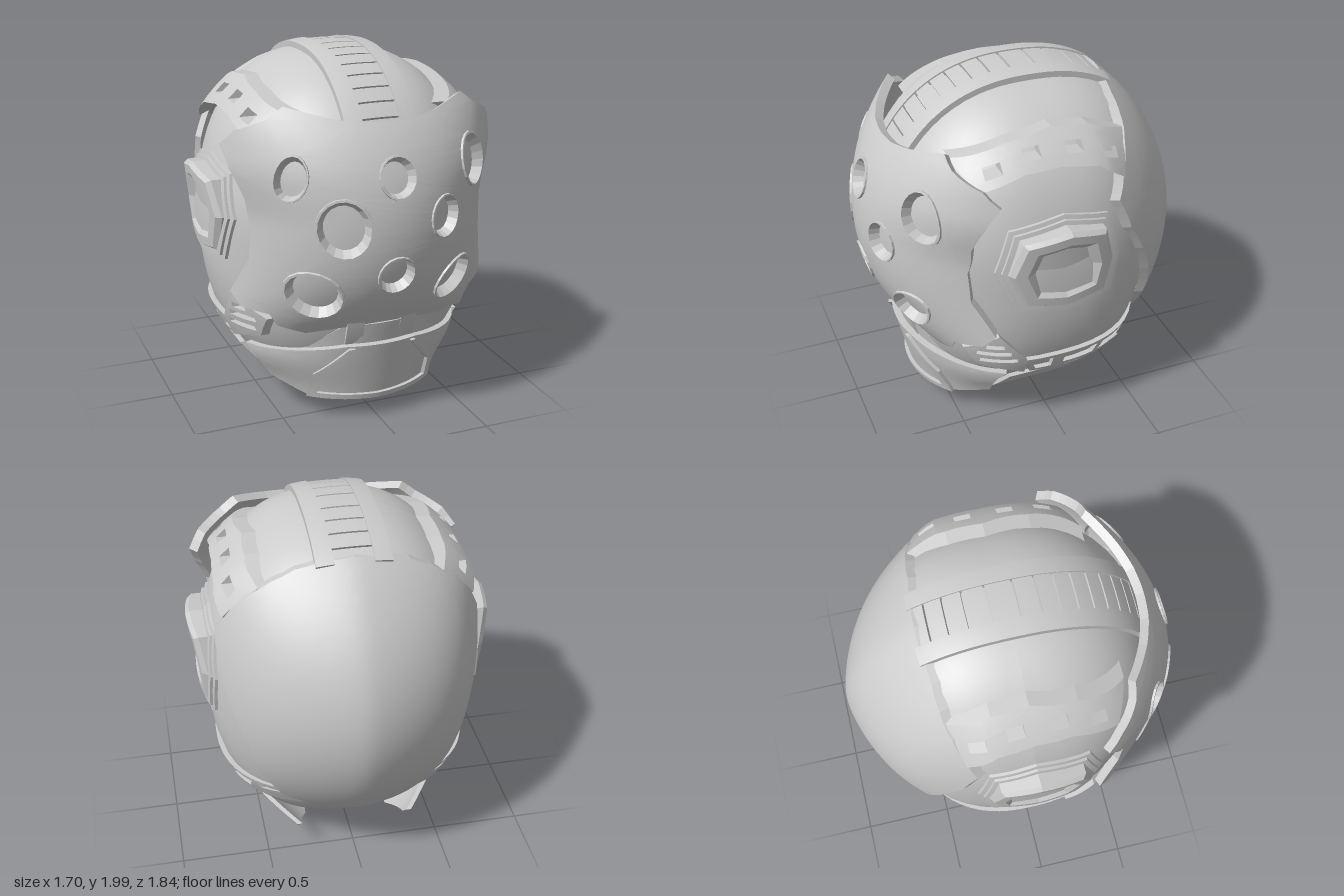
import * as THREE from 'three';
import { mergeGeometries, mergeVertices } from 'three/addons/utils/BufferGeometryUtils.js';

const material = new THREE.MeshStandardMaterial({ color: 0xcccccc, side: THREE.DoubleSide });
const STEP = 0.06;
const V2 = (a) => a.map(([x, y]) => new THREE.Vector2(x, y));
const sym = (half) => half.concat(half.filter((p) => p[0] > 0).map(([x, y]) => [-x, y]).reverse());
const rect = (x, y, w, h, skew = 0) =>
  [[x - w / 2, y - h / 2 - skew], [x + w / 2, y - h / 2 + skew], [x + w / 2, y + h / 2 + skew], [x - w / 2, y + h / 2 - skew]];
const centre = (pts) => pts.reduce((c, p) => [c[0] + p[0] / pts.length, c[1] + p[1] / pts.length], [0, 0]);
const scaled = (pts, s, c = centre(pts)) => pts.map(([x, y]) => [c[0] + (x - c[0]) * s, c[1] + (y - c[1]) * s]);
const oval = (x, y, rx, ry, tilt) => Array.from({ length: 18 }, (_, i) => {
  const a = (i / 18) * Math.PI * 2, u = rx * Math.cos(a), v = ry * Math.sin(a);
  return [x + u * Math.cos(tilt) - v * Math.sin(tilt), y + u * Math.sin(tilt) + v * Math.cos(tilt)];
});

// ---- plates: flat outlines laid onto a curved surface surf(u, v, offset) ----
function toGeometry(points, smooth) {
  const g = new THREE.BufferGeometry().setFromPoints(points);
  if (!smooth) { g.computeVertexNormals(); return g; }
  const m = mergeVertices(g, 1e-5);
  m.computeVertexNormals();
  return m.toNonIndexed();
}

function skin(outline, holes, surf, t) {
  const contour = V2(outline), inner = holes.map(V2), all = [contour, ...inner].flat(), out = [];
  const stack = THREE.ShapeUtils.triangulateShape(contour, inner).map((f) => f.map((i) => all[i]));
  while (stack.length) {
    const [a, b, c] = stack.pop();
    const ab = a.distanceTo(b), bc = b.distanceTo(c), ca = c.distanceTo(a), m = Math.max(ab, bc, ca);
    if (m <= STEP) { out.push(...[a, b, c].map((p) => surf(p.x, p.y, t))); continue; }
    const [p, q, r] = m === ab ? [a, b, c] : m === bc ? [b, c, a] : [c, a, b];
    const mid = p.clone().add(q).multiplyScalar(0.5);
    stack.push([p, mid, r], [mid, q, r]);
  }
  return toGeometry(out, true);
}

function wall(outline, surf, t0, t1, s0 = 1, s1 = 1) {
  const dense = [], out = [], c = centre(outline);
  outline.forEach((p, i) => {
    const q = outline[(i + 1) % outline.length];
    let n = 1;
    while (Math.hypot(q[0] - p[0], q[1] - p[1]) / n > STEP) n *= 2;
    for (let k = 0; k < n; k++) dense.push([p[0] + (q[0] - p[0]) * k / n, p[1] + (q[1] - p[1]) * k / n]);
  });
  const a = scaled(dense, s0, c).map((p) => surf(p[0], p[1], t0));
  const b = scaled(dense, s1, c).map((p) => surf(p[0], p[1], t1));
  a.forEach((p, i) => {
    const j = (i + 1) % a.length;
    out.push(p, a[j], b[j], p, b[j], b[i]);
  });
  return toGeometry(out, false);
}

const plate = (outline, holes, surf, t0, t1) => mergeGeometries([
  skin(outline, holes, surf, t1), skin(outline, holes, surf, t0),
  ...[outline, ...holes].map((o) => wall(o, surf, t0, t1)),
]);

// ---- surfaces ----
const P = 2.4, CY = 1.02, RX = 0.76, RY = 0.95;
const { smoothstep } = THREE.MathUtils;
const spow = (v, p) => Math.sign(v) * Math.abs(v) ** (2 / p);
const bulge = (y) => (y > CY ? 2.3 : 2.5);
const ring = (y) => Math.max(1 - Math.abs((y - CY) / RY) ** bulge(y), 0) ** (1 / bulge(y));
const depth = (y, z) => (z < 0
  ? 0.71 + 0.05 * smoothstep(y, 0.55, 1.1) + 0.11 * smoothstep(y, 1.4, 1.9)
  : 0.73 + 0.09 * smoothstep(y, 0.75, 1.35));
const vec = (x, y, z) => new THREE.Vector3(x, y, z);

const sideSurf = (z, y, t) => {
  const rest = ring(y) ** P - Math.abs(z / depth(y, z)) ** P;
  return vec(RX * Math.max(rest, 0.02) ** (1 / P) + t, y, z);
};
const templeSurf = (z, y, t) => sideSurf(z, y, t * (1 - 1.5 * (y - 1.68)) * (1 - 0.45 * smoothstep(-z, 0.2, 0.42)));
const crestSurf = (x, phi, t) => {
  const k = (1 - Math.abs(x / RX) ** P) ** (1 / P), c = Math.cos(phi), s = Math.sin(phi), q = bulge(CY + s);
  const y = CY + RY * spow(s, q) * k;
  return vec(x, y + t * s, depth(y, c) * spow(c, q) * k + t * c);
};
const maskSurf = (x, y, t) => {
  const d = y - 1.17, w = 0.8 + (d > 0 ? 0.07 * smoothstep(y, 1.17, 1.5) : 0.3 * d * d);
  const z = (0.92 - 0.5 * d * d - 0.35 * d ** 4) * Math.sqrt(1 - (x / w) ** 2);
  const n = vec(x, d * 0.8, z).normalize();
  return vec(x, y, z).addScaledVector(n, t);
};
const backSurf = (x, y, t) => {
  const d = y - 1.05, a = Math.hypot(x, 0.05) - 0.05;
  return vec(x * (1 + t * 0.5), y, -(0.92 - 0.16 * a - 0.5 * x * x - 1.1 * x ** 6 - 0.55 * d * d - 0.1 * d ** 4) - t);
};
const chinSurf = (x, y, t) => {
  const w = 0.58 + 0.12 * smoothstep(y, 0.12, 0.4);
  const z = (0.64 + 0.25 * (y - 0.1)) * Math.sqrt(1 - (x / w) ** 2);
  return vec(x, y, z).addScaledVector(vec(x, 0, z).normalize(), t);
};
const jawSurf = (z, y, t) => vec((0.2 + 0.47 * (y / 0.4) ** 0.74) * (1 - 1.1 * Math.min(z, 0) ** 2) + t, y, z);
const earSurf = (z, y, t) => vec(0.815 + 0.1 * (y - 1.13) - 0.45 * (z - 0.02) ** 2 + t, y, z);

export function createModel() {
  const root = new THREE.Group();
  root.name = 'helmet';
  const add = (name, geometry, mirror = false) => {
    for (const s of mirror ? [1, -1] : [1]) {
      const m = new THREE.Mesh(geometry, material);
      m.name = mirror ? (s > 0 ? 'left ' : 'right ') + name : name;
      m.scale.x = s;
      root.add(m);
    }
  };

  // rounded inner shell
  const shell = new THREE.SphereGeometry(1, 48, 36), pos = shell.attributes.position;
  for (let i = 0; i < pos.count; i++) {
    const x = pos.getX(i), uy = pos.getY(i), z = pos.getZ(i), h = Math.hypot(x, z) || 1;
    const y = CY + RY * spow(uy, bulge(CY + uy)), f = ring(y);
    pos.setXYZ(i, RX * f * spow(x / h, P), y, depth(y, z) * f * spow(z / h, P));
  }
  shell.computeVertexNormals();
  add('shell', shell);

  // crest over the top: two rails and a ladder of segments
  add('crest rail', plate([[0.105, -0.65], [0.2, -0.65], [0.2, 2.1], [0.105, 2.1]], [], crestSurf, -0.02, 0.03), true);
  const rungs = [];
  for (let a = -0.6; a < 2.1; a += 0.115) rungs.push(plate(rect(0, a, 0.21, 0.103), [], crestSurf, -0.02, 0.022));
  add('crest segments', mergeGeometries(rungs));

  // face mask with eight round ports
  const ports = [
    [0, 1.44, 0.095, 0.1, 0], [-0.51, 1.44, 0.068, 0.115, -0.25], [0.51, 1.44, 0.088, 0.14, 0.25],
    [-0.28, 1.19, 0.125, 0.15, 0.1], [0.28, 1.2, 0.088, 0.11, 0], [0, 0.92, 0.097, 0.1, 0],
    [-0.4, 0.81, 0.15, 0.115, 2.4], [0.39, 0.81, 0.135, 0.095, 0.75],
  ].map((p) => oval(...p));
  const maskOutline = sym([[0, 1.7], [0.15, 1.705], [0.3, 1.73], [0.5, 1.78], [0.58, 1.72], [0.72, 1.65], [0.78, 1.57],
    [0.75, 1.45], [0.69, 1.3], [0.665, 1.15], [0.675, 0.97], [0.75, 0.76], [0.71, 0.69], [0.59, 0.67],
    [0.55, 0.6], [0.4, 0.545], [0.25, 0.575], [0, 0.6]]);
  add('face mask', plate(maskOutline, ports, maskSurf, -0.05, 0));
  ports.forEach((o) => {
    add('port rim', mergeGeometries([wall(o, maskSurf, 0, 0.012, 1.1, 1.08), wall(o, maskSurf, 0.012, 0.012, 1.08, 1),
      wall(o, maskSurf, 0.012, -0.045, 1, 0.83)]));
    add('port lens', skin(scaled(o, 0.84), [], maskSurf, -0.045));
  });

  // rear plate
  add('back plate', plate(sym([[0, 1.9], [0.15, 1.885], [0.3, 1.845], [0.43, 1.78], [0.56, 1.69], [0.655, 1.58],
    [0.72, 1.44], [0.71, 1.25], [0.67, 1.07], [0.61, 0.88], [0.53, 0.66], [0.42, 0.5], [0.2, 0.41], [0, 0.4]]),
  [], backSurf, -0.05, 0));

  // windowed bands along the temples and above the jaw
  add('temple band', plate([[0.45, 1.6], [0.2, 1.68], [0, 1.69], [-0.2, 1.66], [-0.36, 1.55], [-0.42, 1.74],
    [-0.2, 1.82], [0, 1.84], [0.25, 1.8], [0.52, 1.72]],
  [[0.35, 1.695, -0.012], [0.14, 1.755, -0.004], [-0.09, 1.755, 0.004], [-0.29, 1.69, 0.018]]
    .map(([z, y, k]) => rect(z, y, 0.09, 0.05, k)), templeSurf, -0.02, 0.1), true);
  add('jaw band', plate([[0.22, 0.52], [0.16, 0.4], [-0.56, 0.4], [-0.64, 0.45], [-0.62, 0.53]], [
    [[0.17, 0.5], [0.13, 0.42], [0.04, 0.42], [0.04, 0.5]], [[-0.03, 0.5], [-0.03, 0.43], [-0.22, 0.43], [-0.24, 0.5]],
    [[-0.28, 0.5], [-0.26, 0.43], [-0.4, 0.43], [-0.45, 0.5]], [[-0.48, 0.51], [-0.48, 0.47], [-0.58, 0.49]],
  ], sideSurf, -0.03, 0.03), true);

  // slatted cheek vents
  add('cheek vent', plate([[0.52, 0.62], [0.36, 0.74], [0.2, 0.54], [0.2, 0.42], [0.45, 0.5]],
    [[0.42, 0.33, 0.655], [0.46, 0.29, 0.6], [0.44, 0.25, 0.54]]
      .map(([z0, z1, y]) => rect((z0 + z1) / 2, y, z0 - z1, 0.03)), sideSurf, -0.03, 0.045), true);

  // ear pods: base steps following the shell, bevelled frame and recessed pad
  const ear = [[0.3, 1.38], [0, 1.43], [-0.25, 1.38], [-0.32, 1.13], [-0.28, 0.9], [0, 0.85], [0.28, 0.9], [0.38, 1.15]];
  const frame = scaled(ear, 0.84), well = scaled(ear, 0.6);
  add('ear plinth', plate(ear, [], sideSurf, -0.02, 0.015), true);
  add('ear step', plate(scaled(ear, 0.92), [], sideSurf, 0, 0.03), true);
  add('ear frame', mergeGeometries([wall(frame, earSurf, -0.12, -0.015), wall(frame, earSurf, -0.015, 0.01, 1, 0.92),
    skin(scaled(frame, 0.92), [well], earSurf, 0.01), wall(well, earSurf, 0.01, -0.03, 1, 0.74)]), true);
  add('ear pad', skin(scaled(well, 0.75), [], earSurf, -0.03), true);

  // collar and chin guard with a raised frame
  add('collar', plate(sym([[0, 0.59], [0.22, 0.59], [0.48, 0.4], [0, 0.4]]), [], chinSurf, -0.12, -0.04));
  add('chin guard', plate(sym([[0, 0.47], [0.2, 0.47], [0.64, 0.4], [0.52, 0.21], [0.36, 0.13], [0, 0.12]]), [],
    chinSurf, -0.05, 0));
  add('chin frame', plate([[0, 0.12], [0.36, 0.13], [0.35, 0.29], [0.19, 0.46], [0.16, 0.46], [0.31, 0.28],
    [0.315, 0.16], [0, 0.15]], [], chinSurf, -0.02, 0.022), true);

  // flared jaw plates
  add('jaw plate', plate([[0.35, 0.05], [0.28, 0.4], [0, 0.4], [-0.25, 0.31], [-0.55, 0.22], [-0.5, 0.17],
    [-0.28, 0.05], [0, 0.005]], [], jawSurf, -0.03, 0), true);

  return root;
}
